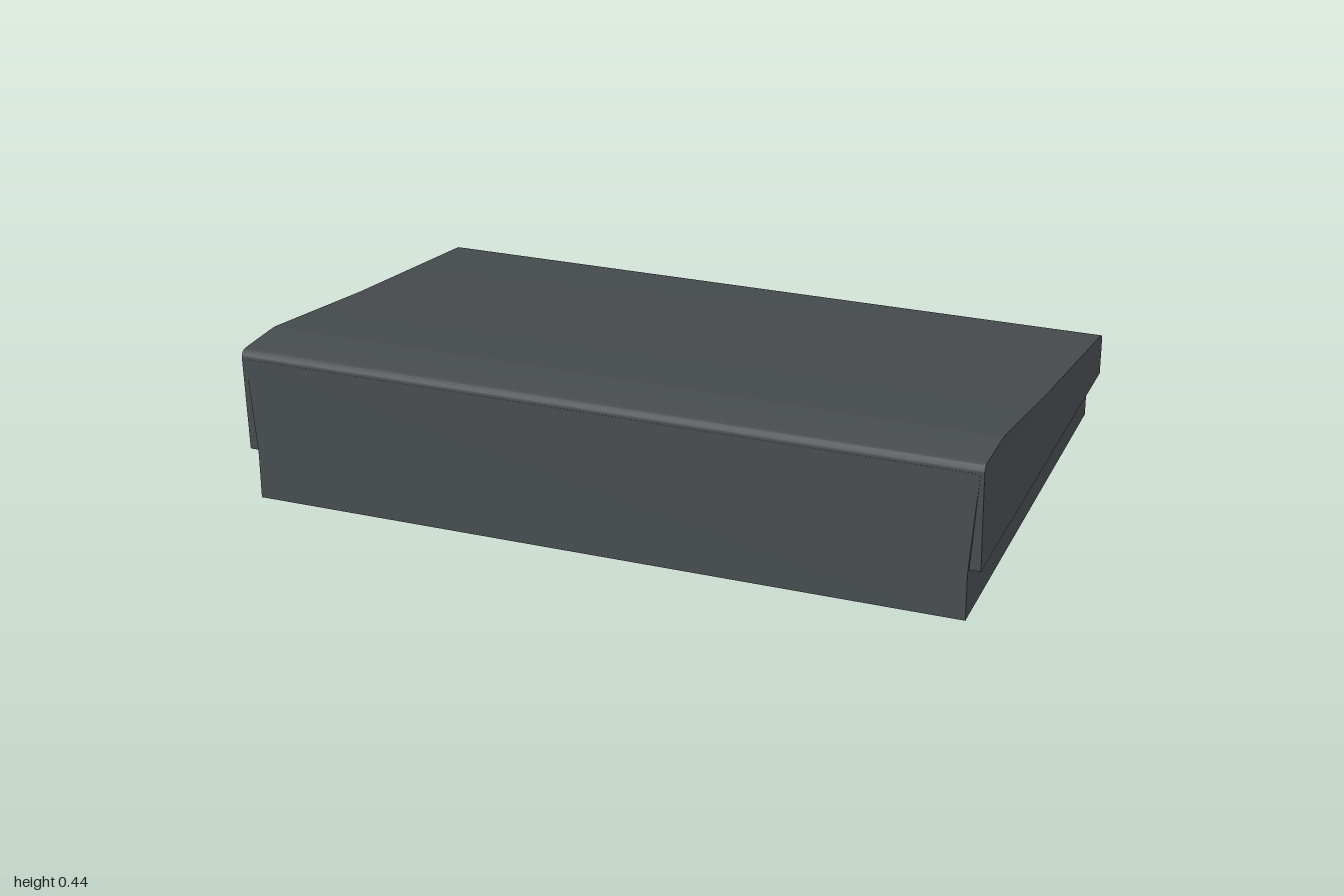
import * as THREE from 'three';
import { toCreasedNormals } from 'three/addons/utils/BufferGeometryUtils.js';

export function createModel() {
  const model = new THREE.Group();
  model.name = 'slopedCase';
  const charcoal = new THREE.MeshStandardMaterial({ color: 0x484d50 });
  charcoal.name = 'charcoal';

  const add = (name, geometry, x = 0, y = 0, z = 0) => {
    const mesh = new THREE.Mesh(geometry, charcoal);
    mesh.name = name;
    mesh.position.set(x, y, z);
    model.add(mesh);
  };

  // Sloped cover: side profile drawn in (z, y), extruded across the width
  const profile = new THREE.Shape();
  profile.moveTo(-0.665, 0.145);
  profile.lineTo(0.654, 0.156);
  profile.lineTo(0.665, 0.42);
  profile.quadraticCurveTo(0.665, 0.443, 0.64, 0.443);
  profile.lineTo(0.5, 0.443);
  profile.quadraticCurveTo(0.485, 0.443, 0.46, 0.438);
  profile.lineTo(0, 0.362);
  profile.lineTo(-0.64, 0.27);
  profile.quadraticCurveTo(-0.665, 0.266, -0.665, 0.248);
  profile.closePath();
  const cover = new THREE.ExtrudeGeometry(profile, { depth: 2, bevelEnabled: false, curveSegments: 8 });
  cover.rotateY(-Math.PI / 2);
  cover.translate(1, 0, 0);
  add('cover', toCreasedNormals(cover, 0.6));

  // Front panel: straight along the base, flaring out to the cover's top edge
  const front = new THREE.Shape();
  front.moveTo(-0.97, 0.022);
  front.lineTo(0.97, 0.022);
  front.lineTo(0.97, 0.15);
  front.lineTo(0.99, 0.42);
  front.lineTo(-0.99, 0.42);
  front.lineTo(-0.97, 0.15);
  front.closePath();
  add('frontPanel', new THREE.ExtrudeGeometry(front, { depth: 0.016, bevelEnabled: false }), 0, 0, 0.6495);

  // Recessed base tray
  add('base', new THREE.BoxGeometry(1.94, 0.128, 1.29), 0, 0.086, 0.005);

  // Four tapered feet
  for (const x of [-0.905, 0.905]) {
    for (const z of [-0.55, 0.555]) {
      add('foot', new THREE.CylinderGeometry(0.04, 0.026, 0.022, 24), x, 0.011, z);
    }
  }
  return model;
}
